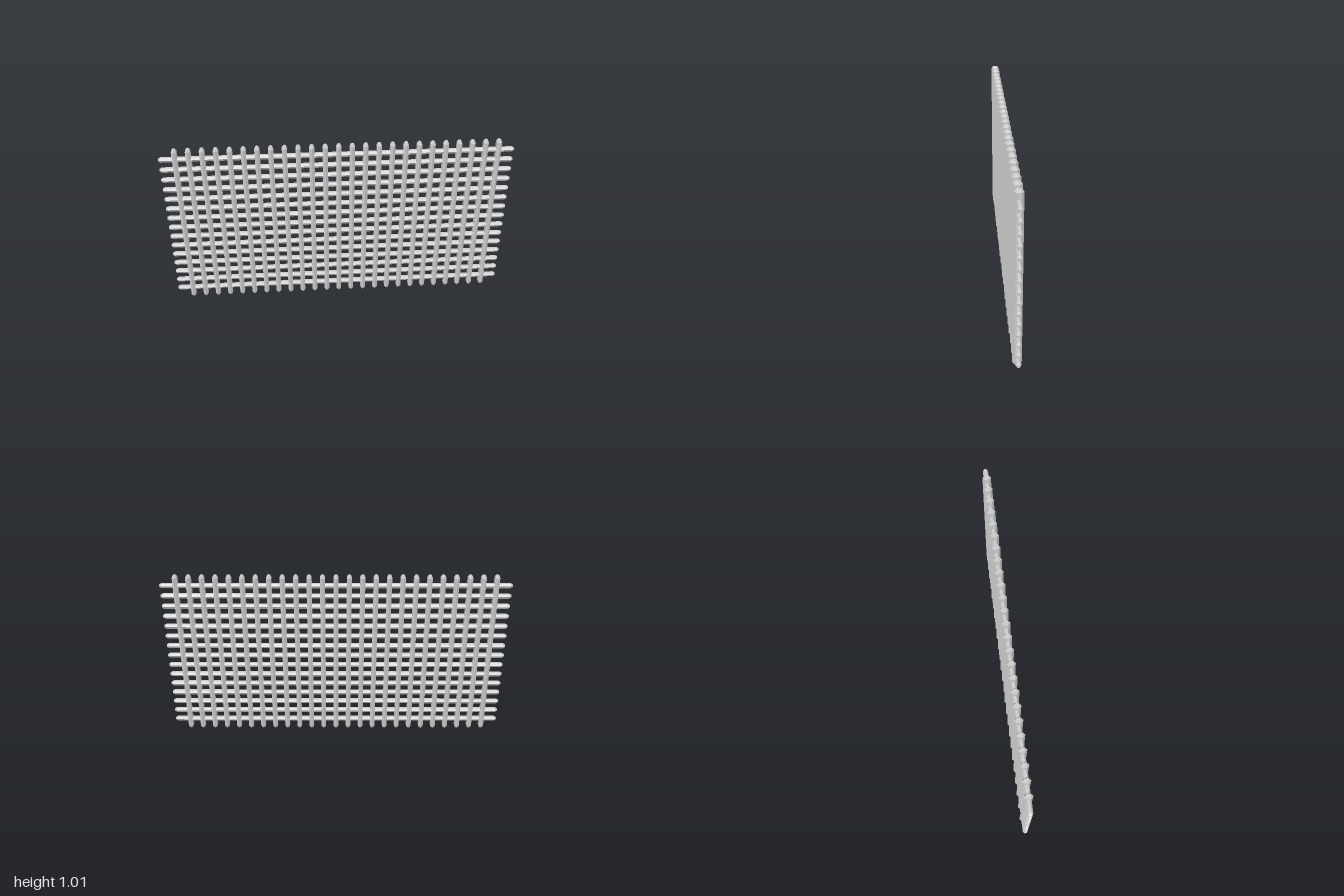
import * as THREE from 'three';

const material = new THREE.MeshStandardMaterial({ color: 0xcccccc, flatShading: true });

// Six-sided bar along y with tapered ends; ridges point to +z and -z
function barGeometry(length, halfWidth, halfDepth, taper) {
  const h = length / 2;
  const profile = [[0, -h], [0.6, -h], [1, -h + taper], [1, h - taper], [0.6, h], [0, h]]
    .map(([r, y]) => new THREE.Vector2(r, y));
  return new THREE.LatheGeometry(profile, 6)
    .scale(halfWidth / Math.sin(Math.PI / 3), 1, halfDepth);
}

export function createModel() {
  const group = new THREE.Group();
  group.name = 'barGrille';
  const height = 1.01;

  // Upright bars
  const uprights = new THREE.Group();
  uprights.name = 'uprightBars';
  const uprightGeometry = barGeometry(height, 0.0145, 0.025, 0.014);
  for (let i = 0; i < 25; i++) {
    const bar = new THREE.Mesh(uprightGeometry, material);
    bar.name = 'uprightBar';
    bar.position.set((i - 12) * 0.0758, height / 2, 0);
    uprights.add(bar);
  }

  // Thinner cross bars running through the uprights
  const crossBars = new THREE.Group();
  crossBars.name = 'crossBars';
  const crossGeometry = barGeometry(2, 0.0134, 0.0155, 0.012).rotateZ(Math.PI / 2);
  for (let i = 0; i < 15; i++) {
    const bar = new THREE.Mesh(crossGeometry, material);
    bar.name = 'crossBar';
    bar.position.y = height / 2 + (i - 7) * 0.0632;
    crossBars.add(bar);
  }

  group.add(uprights, crossBars);
  return group;
}
